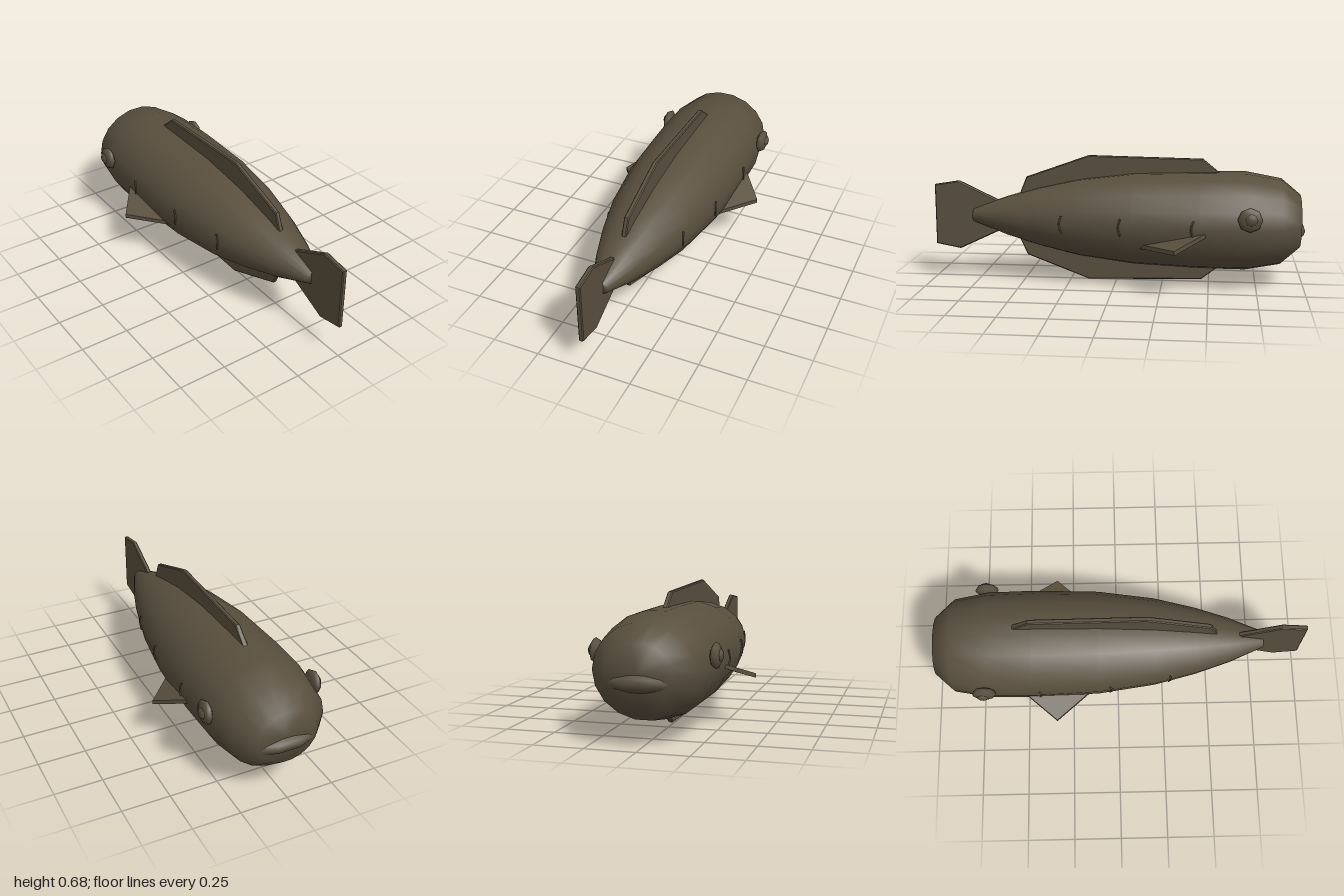
import * as THREE from 'three';

const skin = new THREE.MeshStandardMaterial({ color: 0x594f3e });
skin.name = 'olive brown skin';

// Body stations: z, half width, half height, centre height
const stations = [
  [-0.975, 0.16, 0.142, 0.345], [-0.875, 0.252, 0.227, 0.343], [-0.69, 0.285, 0.261, 0.343],
  [-0.45, 0.291, 0.26, 0.343], [-0.1, 0.278, 0.247, 0.345], [0.2, 0.236, 0.209, 0.345],
  [0.42, 0.181, 0.158, 0.345], [0.6, 0.122, 0.105, 0.345], [0.785, 0.044, 0.036, 0.345],
];
const SIDES = 18;

function mesh(name, geometry) {
  const m = new THREE.Mesh(geometry, skin);
  m.name = name;
  return m;
}

// Half width of the body surface at a given length and height
function surfaceX(z, y) {
  let i = 0;
  while (i < stations.length - 2 && stations[i + 1][0] < z) i++;
  const a = stations[i], b = stations[i + 1];
  const t = (z - a[0]) / (b[0] - a[0]);
  const [, w, h, c] = a.map((v, k) => v + (b[k] - v) * t);
  return w * Math.sqrt(Math.max(0, 1 - ((y - c) / h) ** 2));
}

// Oval cross-sections joined from nose to tail root
function bodyGeometry() {
  const pos = [], idx = [], n = stations.length;
  for (const [z, w, h, c] of stations) {
    for (let j = 0; j < SIDES; j++) {
      const a = ((j + 0.5) / SIDES) * Math.PI * 2;
      pos.push(w * Math.sin(a), c + h * Math.cos(a), z);
    }
  }
  const nose = n * SIDES, end = nose + 1;
  pos.push(0, stations[0][3], stations[0][0], 0, stations[n - 1][3], stations[n - 1][0]);
  for (let j = 0; j < SIDES; j++) {
    const k = (j + 1) % SIDES;
    for (let i = 0; i < n - 1; i++) {
      const a = i * SIDES + j, b = i * SIDES + k;
      idx.push(a, a + SIDES, b, b, a + SIDES, b + SIDES);
    }
    idx.push(nose, j, k, end, (n - 1) * SIDES + k, (n - 1) * SIDES + j);
  }
  const g = new THREE.BufferGeometry();
  g.setAttribute('position', new THREE.Float32BufferAttribute(pos, 3));
  g.setIndex(idx);
  g.computeVertexNormals();
  return g;
}

// Flat plate with slightly bevelled edges
function plate(points, depth, bevel) {
  const shape = new THREE.Shape(points.map(([x, y]) => new THREE.Vector2(x, y)));
  const g = new THREE.ExtrudeGeometry(shape, {
    depth: depth - 2 * bevel, bevelEnabled: bevel > 0, bevelThickness: bevel,
    bevelSize: bevel, bevelOffset: -bevel, bevelSegments: 1,
  });
  return g.translate(0, 0, bevel - depth / 2);
}

// Upright fin on the centre line, outlined by length and height
const uprightFin = (points) => plate(points, 0.026, 0.005).rotateY(-Math.PI / 2);

// Side fin, sloping down outwards and towards the tail
function sideFin(s) {
  const outline = [[0.23, 0.55], [0.405, 0.33], [0.23, 0.13]].map(([x, y]) => [s * x, y]);
  const g = plate(outline, 0.022, 0).rotateX(-Math.PI / 2);
  const p = g.attributes.position;
  for (let i = 0; i < p.count; i++) {
    const drop = 0.24 * (Math.abs(p.getX(i)) - 0.27) + 0.242 * (p.getZ(i) + 0.33);
    p.setY(i, p.getY(i) + 0.281 - drop);
  }
  g.computeVertexNormals();
  return g;
}

// Curved ridge lying on the flank
function ridge(s, z) {
  const points = [[0, 0.39], [0.012, 0.345], [0, 0.298]].map(([dz, y]) =>
    new THREE.Vector3(s * surfaceX(z + dz, y), y, z + dz));
  return new THREE.TubeGeometry(new THREE.CatmullRomCurve3(points), 8, 0.005, 5);
}

// Low-sided oval dome
function dome(rx, ry, rz, turn, axisX) {
  const g = new THREE.SphereGeometry(1, 8, 6).rotateY(turn);
  if (axisX) g.rotateZ(-Math.PI / 2);
  return g.scale(rx, ry, rz);
}

export function createModel() {
  const model = new THREE.Group();
  model.name = 'fish';
  model.add(mesh('body', bodyGeometry()));

  // Centre-line fins
  model.add(mesh('topFin', uprightFin(
    [[-0.57, 0.58], [-0.46, 0.67], [0.15, 0.681], [0.49, 0.56], [0.535, 0.45], [0.1, 0.5]])));
  model.add(mesh('bottomFin', uprightFin(
    [[-0.57, 0.1], [-0.46, 0.015], [0.15, 0.0], [0.49, 0.13], [0.535, 0.23], [0.1, 0.19]])));
  model.add(mesh('tailFin', uprightFin(
    [[1, 0.51], [0.865, 0.532], [0.64, 0.425], [0.64, 0.262], [0.865, 0.155], [1, 0.18]])));

  // Mouth
  const mouth = mesh('mouth', dome(0.17, 0.046, 0.054, Math.PI / 8, false));
  mouth.position.set(0, 0.303, -0.95);
  model.add(mouth);

  // Paired parts
  for (const s of [1, -1]) {
    const side = s > 0 ? 'left' : 'right';
    model.add(mesh(side + 'Fin', sideFin(s)));

    const eye = mesh(side + 'Eye', dome(0.028, 0.064, 0.064, 0, true));
    eye.position.set(s * 0.294, 0.403, -0.705);
    const pupil = mesh(side + 'Pupil', dome(0.02, 0.034, 0.034, 0, true));
    pupil.position.set(s * 0.311, 0.406, -0.71);
    model.add(eye, pupil);

    [-0.42, -0.045, 0.27].forEach((z, i) => model.add(mesh(side + 'Ridge' + (i + 1), ridge(s, z))));
  }
  return model;
}
